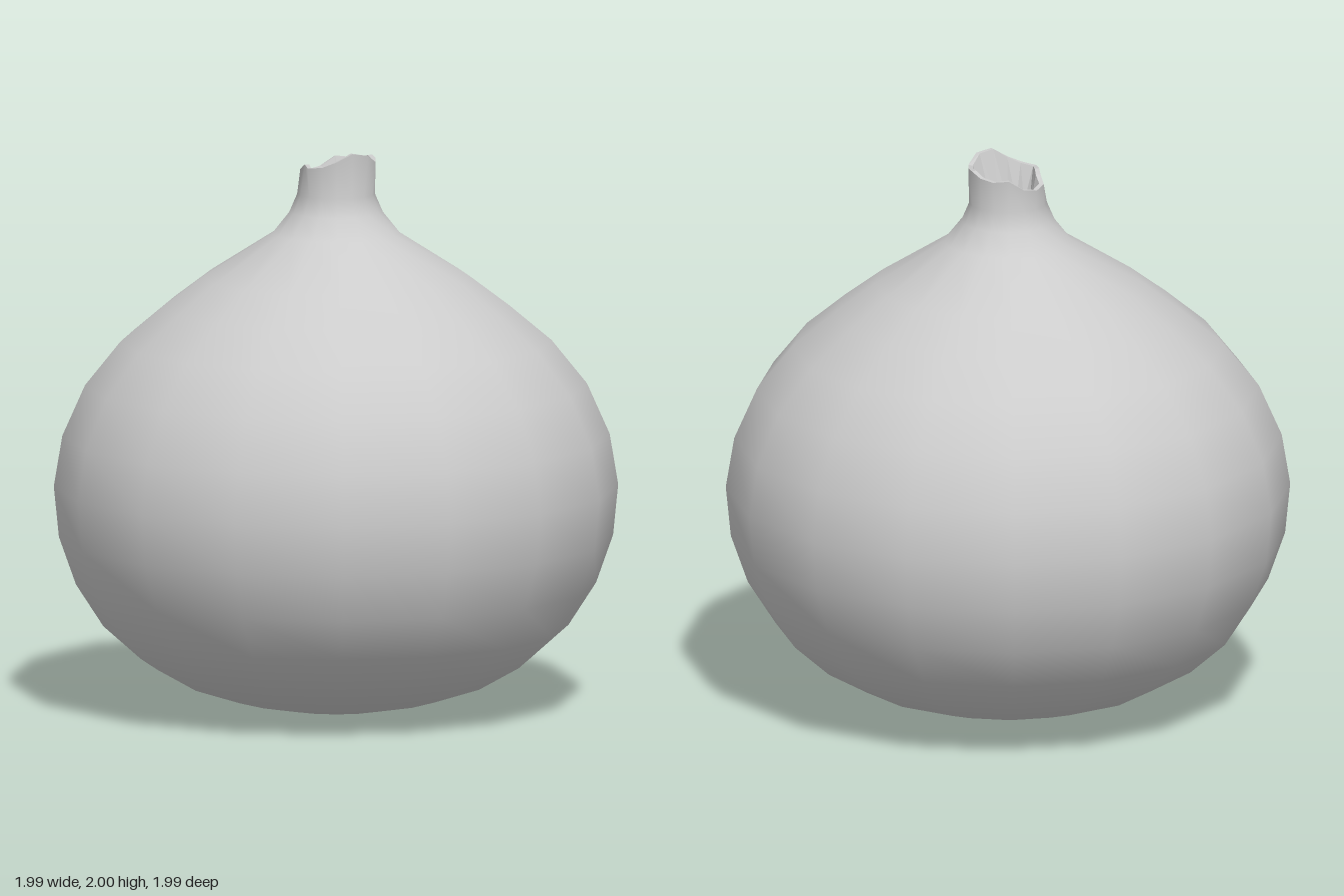
import * as THREE from 'three';

const SIDES = 16;
// Ragged rim, listed from the front (+z) round towards +x
const RIM_Y = [1.99, 1.96, 1.965, 1.97, 1.955, 1.95, 1.955, 1.92, 1.91, 1.92, 1.94, 1.95, 1.945, 1.95, 1.97, 2.0];
const RIM_R = [0.155, 0.15, 0.14, 0.14, 0.14, 0.145, 0.14, 0.14, 0.14, 0.135, 0.115, 0.12, 0.145, 0.14, 0.13, 0.145];

function lathe(points) {
  return new THREE.LatheGeometry(points.map(([r, y]) => new THREE.Vector2(r, y)), SIDES);
}

// Move one ring of a lathe onto the ragged rim, pulled inwards by inset
function raggedRing(geometry, rows, row, inset) {
  const pos = geometry.attributes.position;
  for (let i = 0; i <= SIDES; i++) {
    const a = (i / SIDES) * Math.PI * 2;
    const r = RIM_R[i % SIDES] - inset;
    pos.setXYZ(i * rows + row, Math.sin(a) * r, RIM_Y[i % SIDES], Math.cos(a) * r);
  }
}

export function createModel() {
  const group = new THREE.Group();

  // Bulb with its neck, smooth from base to rim
  const profile = [
    [0, 0], [0.2, 0.013], [0.37, 0.045], [0.54, 0.1], [0.69, 0.185], [0.82, 0.3],
    [0.917, 0.45], [0.977, 0.62], [0.995, 0.8], [0.965, 0.98], [0.885, 1.16],
    [0.76, 1.315], [0.61, 1.44], [0.47, 1.545], [0.225, 1.7], [0.165, 1.775],
    [0.137, 1.84], [0.14, 1.95],
  ];
  const bulbGeometry = lathe(profile);
  raggedRing(bulbGeometry, profile.length, profile.length - 1, 0);
  const bulb = new THREE.Mesh(bulbGeometry, new THREE.MeshStandardMaterial({ color: 0xcccccc }));
  bulb.name = 'bulb';
  group.add(bulb);

  // Hollow of the neck: lip, sloping inner wall and floor
  const hollow = [[0.14, 1.95], [0.125, 1.95], [0.082, 1.82], [0, 1.82]];
  const hollowGeometry = lathe(hollow);
  raggedRing(hollowGeometry, hollow.length, 0, 0);
  raggedRing(hollowGeometry, hollow.length, 1, 0.017);
  const opening = new THREE.Mesh(
    hollowGeometry,
    new THREE.MeshStandardMaterial({ color: 0xcccccc, flatShading: true })
  );
  opening.name = 'neckOpening';
  group.add(opening);

  return group;
}
